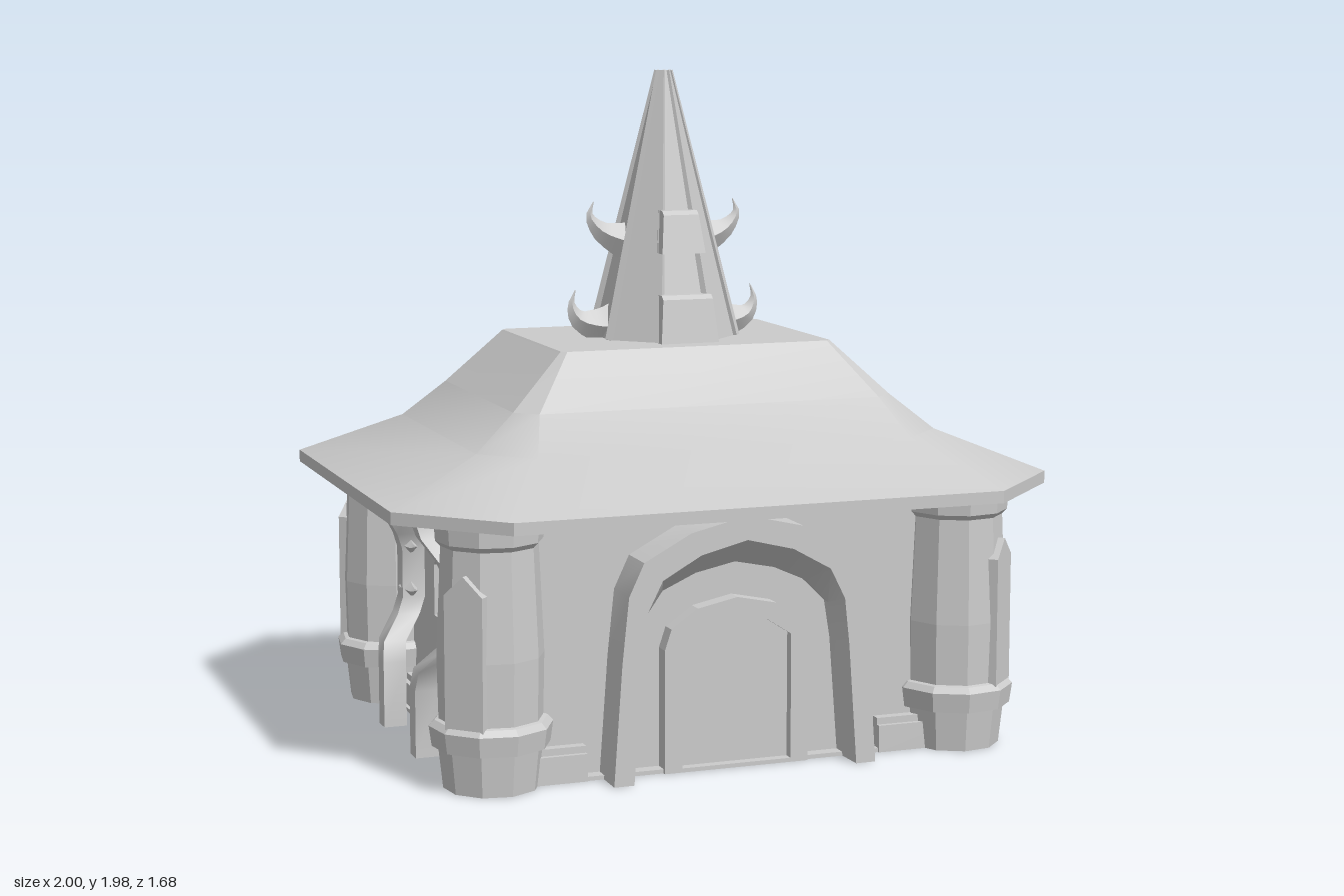
import * as THREE from 'three';
import { toCreasedNormals } from 'three/addons/utils/BufferGeometryUtils.js';

const smooth = new THREE.MeshStandardMaterial({ color: 0xcccccc });
const flat = new THREE.MeshStandardMaterial({ color: 0xcccccc, flatShading: true });

function add(parent, name, geometry, material = smooth) {
  const mesh = new THREE.Mesh(geometry, material);
  mesh.name = name;
  parent.add(mesh);
  return mesh;
}

function box(parent, name, w, h, d, x, y, z) {
  const mesh = add(parent, name, new THREE.BoxGeometry(w, h, d));
  mesh.position.set(x, y, z);
  return mesh;
}

// Skin closed rings of [x, y, z] points, counter-clockwise seen from the end
function loft(rings, crease = 0.6) {
  const pos = [];
  const tri = (...p) => p.forEach((v) => pos.push(...v));
  const n = rings[0].length, last = rings[rings.length - 1];
  for (let i = 0; i < rings.length - 1; i++) {
    for (let j = 0; j < n; j++) {
      const k = (j + 1) % n;
      const a = rings[i][j], b = rings[i][k], c = rings[i + 1][k], d = rings[i + 1][j];
      tri(a, b, c);
      tri(a, c, d);
    }
  }
  for (let j = 1; j < n - 1; j++) {
    tri(rings[0][0], rings[0][j + 1], rings[0][j]);
    tri(last[0], last[j], last[j + 1]);
  }
  const geometry = new THREE.BufferGeometry();
  geometry.setAttribute('position', new THREE.Float32BufferAttribute(pos, 3));
  return toCreasedNormals(geometry, crease);
}

// Horizontal rectangle with cut corners
const octagon = (y, w, d, c) => [
  [w, y, d - c], [w, y, c - d], [w - c, y, -d], [c - w, y, -d],
  [-w, y, c - d], [-w, y, d - c], [c - w, y, d], [w - c, y, d],
];

// Horizontal rectangle centred on x, z
const rect = (y, x, z, w, d) => [
  [x + w, y, z + d], [x + w, y, z - d], [x - w, y, z - d], [x - w, y, z + d],
];

// Curved spike in the xy plane, tapering from a diamond section to a point
function spike(points, height, width) {
  const curve = new THREE.CatmullRomCurve3(points.map(([x, y]) => new THREE.Vector3(x, y, 0)));
  const rings = [];
  for (let i = 0; i <= 10; i++) {
    const p = curve.getPoint(i / 10), t = curve.getTangent(i / 10);
    const s = Math.pow(1 - i / 10, 1.4) + 0.02, h = height * s, w = width * s;
    rings.push([
      [p.x - t.y * h, p.y + t.x * h, 0], [p.x, p.y, w],
      [p.x + t.y * h, p.y - t.x * h, 0], [p.x, p.y, -w],
    ]);
  }
  return loft(rings, 0.5);
}

// Mirror a half outline that runs from the right foot to the crown
const mirrored = (half) => [...half, ...half.slice(0, -1).reverse().map(([x, y]) => [-x, y])];
const shapeOf = (pts) => new THREE.Shape(pts.map(([x, y]) => new THREE.Vector2(x, y)));

function slab(points, depth, holePoints) {
  const shape = shapeOf(points);
  if (holePoints) shape.holes.push(shapeOf(holePoints));
  return new THREE.ExtrudeGeometry(shape, { depth, bevelEnabled: false });
}

function makePillar(x, z) {
  const pillar = new THREE.Group();
  pillar.name = 'cornerPillar';
  const profile = [
    [0, 0], [0.137, 0], [0.15, 0.12], [0.168, 0.122], [0.176, 0.18], [0.16, 0.197], [0.148, 0.2],
    [0.152, 0.38], [0.138, 0.69], [0.152, 0.705], [0.156, 0.766], [0, 0.766],
  ].map(([r, y]) => new THREE.Vector2(r, y));
  add(pillar, 'pillarShaft', new THREE.LatheGeometry(profile, 10, Math.PI / 10), flat);
  const panel = slab(mirrored([[0.06, 0.19], [0.06, 0.57], [0, 0.625]]), 0.045);
  add(pillar, 'pointedPanel', panel).position.z = 0.11;
  pillar.position.set(x, 0, z);
  pillar.rotation.y = Math.atan2(Math.sign(x), Math.sign(z));
  return pillar;
}

// Two bent, thorny posts against a wall that faces +z
function makeVines(spread, reach) {
  const vines = new THREE.Group();
  vines.name = 'thornVines';
  const path = [[0, 0, 1], [0.2, 0, 1], [0.26, 0.02, 0.95], [0.33, 0.075, 0.5], [0.38, 0.085, 0.35],
    [0.53, 0.085, 0.35], [0.58, 0.065, 0.5], [0.65, 0.015, 0.85], [0.7, 0, 0.95], [0.766, 0, 0.95]];
  for (const side of [-1, 1]) {
    const rings = path.map(([y, dx, out]) => rect(y, side * (spread + dx), out * reach, 0.031, 0.035));
    add(vines, 'vinePost', loft(rings));
    for (const y of [0.41, 0.545]) {
      for (const dir of [0, Math.PI]) {
        const thorn = add(vines, 'thorn', spike([[0, 0], [0.06, -0.006], [0.115, 0.006]], 0.034, 0.03));
        thorn.position.set(side * (spread + 0.085), y, 0.35 * reach + 0.01);
        thorn.rotation.y = dir;
      }
    }
  }
  return vines;
}

function makeDoorway() {
  const door = new THREE.Group();
  door.name = 'doorway';
  // Deep hooded arch, swept as a section from foot to foot
  const outer = mirrored([[0.4, 0], [0.375, 0.35], [0.355, 0.54], [0.31, 0.635], [0.17, 0.71], [0, 0.75]]);
  const lip = mirrored([[0.34, 0], [0.315, 0.35], [0.3, 0.49], [0.255, 0.58], [0.14, 0.645], [0, 0.68]]);
  const inner = mirrored([[0.335, 0], [0.308, 0.35], [0.29, 0.46], [0.22, 0.53], [0.12, 0.575], [0, 0.6]]);
  const rings = outer.map((p, i) => [
    [...p, 0.56], [...p, 0.7], [...lip[i], 0.7], [...inner[i], 0.6], [...inner[i], 0.56],
  ].reverse());
  add(door, 'hoodedArch', loft(rings, 0.5));
  // Inner surround and door leaf
  const surround = mirrored([[0.22, 0], [0.22, 0.36], [0.2, 0.42], [0.12, 0.475], [0, 0.5]]);
  const opening = mirrored([[0.167, 0.012], [0.167, 0.38], [0.09, 0.43], [0, 0.452]]);
  add(door, 'doorSurround', slab(surround, 0.06, opening)).position.z = 0.56;
  add(door, 'doorLeaf', slab(opening, 0.03)).position.z = 0.56;
  return door;
}

function makeWindow() {
  const window = new THREE.Group();
  window.name = 'sideWindow';
  const frame = mirrored([[0.1, 0.335], [0.095, 0.52], [0.06, 0.565], [0, 0.583]]);
  const pane = mirrored([[0.078, 0.355], [0.075, 0.51], [0.045, 0.545], [0, 0.56]]);
  add(window, 'windowFrame', slab(frame, 0.035, pane)).position.z = -0.01;
  add(window, 'windowPane', slab(pane, 0.018)).position.z = -0.01;
  return window;
}

function makeSpire() {
  const spire = new THREE.Group();
  spire.name = 'spire';
  const body = add(spire, 'spireBody', new THREE.CylinderGeometry(0.022, 0.215, 0.795, 8, 1, false, Math.PI / 8), flat);
  body.position.y = 1.5825;
  // Ribs along the eight edges
  for (let i = 0; i < 8; i++) {
    const a = (i + 0.5) * Math.PI / 4;
    const low = new THREE.Vector3(Math.sin(a) * 0.217, 1.185, Math.cos(a) * 0.217);
    const high = new THREE.Vector3(Math.sin(a) * 0.022, 1.98, Math.cos(a) * 0.022);
    const dir = high.clone().sub(low);
    const rib = add(spire, 'spireRib', new THREE.CylinderGeometry(0.006, 0.014, dir.length(), 4), flat);
    rib.position.copy(low).add(high).multiplyScalar(0.5);
    rib.quaternion.setFromUnitVectors(new THREE.Vector3(0, 1, 0), dir.normalize());
  }
  for (const turn of [0, Math.PI]) {
    // Stepped blocks on front and back
    for (const [y0, w0, z0, y1, w1, z1] of [[1.185, 0.09, 0.235, 1.325, 0.078, 0.21], [1.445, 0.068, 0.18, 1.57, 0.055, 0.15]]) {
      const block = loft([rect(y0, 0, z0 - 0.05, w0, 0.05), rect(y1 - 0.012, 0, z1 - 0.045, w1, 0.05), rect(y1, 0, z1 - 0.06, w1, 0.05)], 0.3);
      add(spire, 'spireBlock', block).rotation.y = turn;
    }
    // Hooked horns on the two sides
    const low = [[0.15, 1.22], [0.21, 1.222], [0.27, 1.242], [0.292, 1.285], [0.28, 1.33]];
    const high = [[0.08, 1.46], [0.14, 1.478], [0.2, 1.505], [0.234, 1.55], [0.222, 1.592]];
    for (const points of [low, high]) add(spire, 'horn', spike(points, 0.075, 0.05)).rotation.y = turn;
  }
  return spire;
}

export function createModel() {
  const model = new THREE.Group();
  model.name = 'pavilion';

  // Walls and plinth
  box(model, 'walls', 1.36, 0.76, 1.14, 0, 0.386, 0);
  box(model, 'floor', 1.46, 0.012, 1.22, 0, 0.006, 0);
  for (const s of [-1, 1]) {
    box(model, 'sidePlinth', 0.04, 0.08, 1.2, s * 0.7, 0.04, 0);
    box(model, 'sidePlinthCap', 0.03, 0.02, 1.18, s * 0.69, 0.09, 0);
    box(model, 'frontPlinth', 0.27, 0.08, 0.05, s * 0.585, 0.04, 0.59);
    box(model, 'frontPlinthCap', 0.27, 0.02, 0.04, s * 0.585, 0.09, 0.58);
  }
  box(model, 'backPlinth', 1.4, 0.08, 0.04, 0, 0.04, -0.59);
  box(model, 'backPlinthCap', 1.4, 0.02, 0.03, 0, 0.09, -0.58);

  for (const x of [-0.715, 0.715]) for (const z of [-0.555, 0.555]) model.add(makePillar(x, z));
  model.add(makeDoorway());

  // Windows and vines on the sides, vines alone on the back
  for (const s of [-1, 1]) {
    const side = new THREE.Group();
    side.name = s > 0 ? 'leftWallDetails' : 'rightWallDetails';
    side.add(makeWindow(), makeVines(0.185, 0.13));
    side.position.x = s * 0.68;
    side.rotation.y = s * Math.PI / 2;
    model.add(side);
  }
  const backVines = makeVines(0.27, 0.138);
  backVines.position.z = -0.57;
  backVines.rotation.y = Math.PI;
  model.add(backVines);

  // Flared hip roof
  add(model, 'roofEave', loft([octagon(0.764, 1, 0.84, 0.27), octagon(0.8, 1, 0.84, 0.27)], 0.3));
  add(model, 'roof', loft([
    octagon(0.8, 1, 0.84, 0.27), octagon(0.92, 0.71, 0.55, 0.14),
    octagon(1.025, 0.585, 0.42, 0.06), octagon(1.185, 0.42, 0.307, 0.015),
  ], 0.5));
  model.add(makeSpire());
  return model;
}
